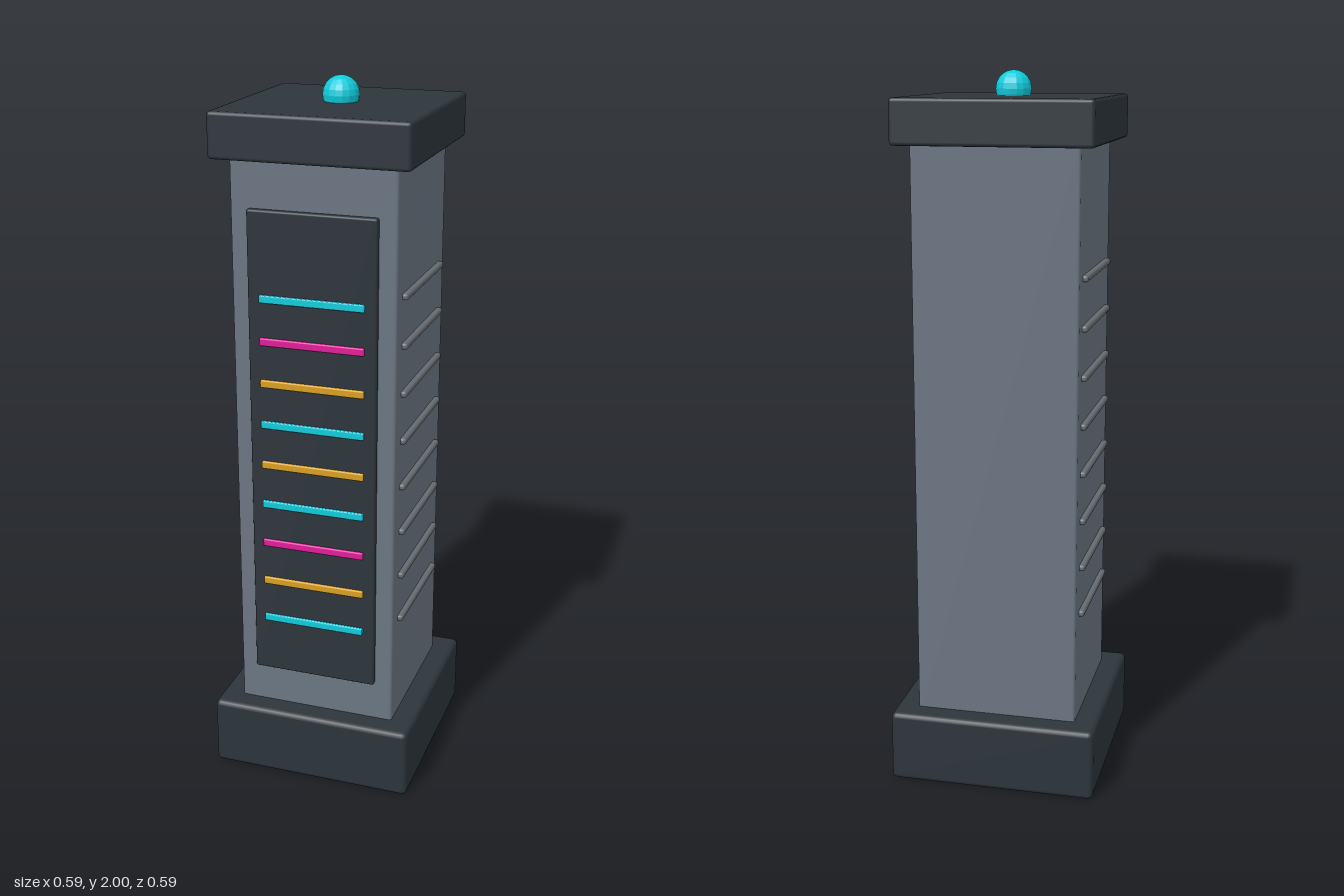
import * as THREE from 'three';
import { RoundedBoxGeometry } from 'three/addons/geometries/RoundedBoxGeometry.js';

export function createModel() {
  const group = new THREE.Group();
  const material = (name, color, extra = {}) => {
    const m = new THREE.MeshStandardMaterial({ color, ...extra });
    m.name = name;
    return m;
  };
  const casing = material('slate grey casing', 0x6b7682);
  const dark = material('charcoal trim', 0x2d353b);
  const ventGrey = material('vent grey', 0x666b70);
  const cyan = material('cyan light', 0x10cbdc);
  const magenta = material('magenta light', 0xe01c9a);
  const amber = material('amber light', 0xd9a020);
  const beaconCyan = cyan;
  beaconCyan.flatShading = true;

  // Rounded box centred at (x, y, z)
  const box = (name, mat, [w, h, d], [x, y, z], radius) => {
    const mesh = new THREE.Mesh(new RoundedBoxGeometry(w, h, d, 2, radius), mat);
    mesh.name = name;
    mesh.position.set(x, y, z);
    group.add(mesh);
    return mesh;
  };

  // Plinth, column, cap and front panel
  box('base', dark, [0.59, 0.205, 0.59], [0, 0.1075, 0], 0.015).position.y = 0.1025;
  box('column', casing, [0.46, 1.63, 0.46], [0, 1.0, 0], 0.008);
  box('cap', dark, [0.547, 0.123, 0.547], [0, 1.87, 0], 0.01);
  box('frontPanel', dark, [0.36, 1.36, 0.03], [0, 1.0, 0.231], 0.006);

  // Light strips, from the bottom up
  const strips = [cyan, amber, magenta, cyan, amber, cyan, amber, magenta, cyan];
  strips.forEach((mat, i) =>
    box(`lightStrip${i + 1}`, mat, [0.295, 0.022, 0.016], [0, 0.49 + i * 0.119, 0.245], 0.004));

  // Vent ribs on both sides
  for (const side of [-1, 1]) {
    for (let i = 0; i < 8; i++) {
      box(`${side > 0 ? 'left' : 'right'}Vent${i + 1}`, ventGrey,
        [0.03, 0.018, 0.36], [side * 0.23, 0.513 + i * 0.1356, 0], 0.007);
    }
  }

  // Beacon ball set into the cap
  const beacon = new THREE.Mesh(new THREE.SphereGeometry(0.05, 16, 10), beaconCyan);
  beacon.name = 'beacon';
  beacon.position.y = 1.95;
  group.add(beacon);

  return group;
}
